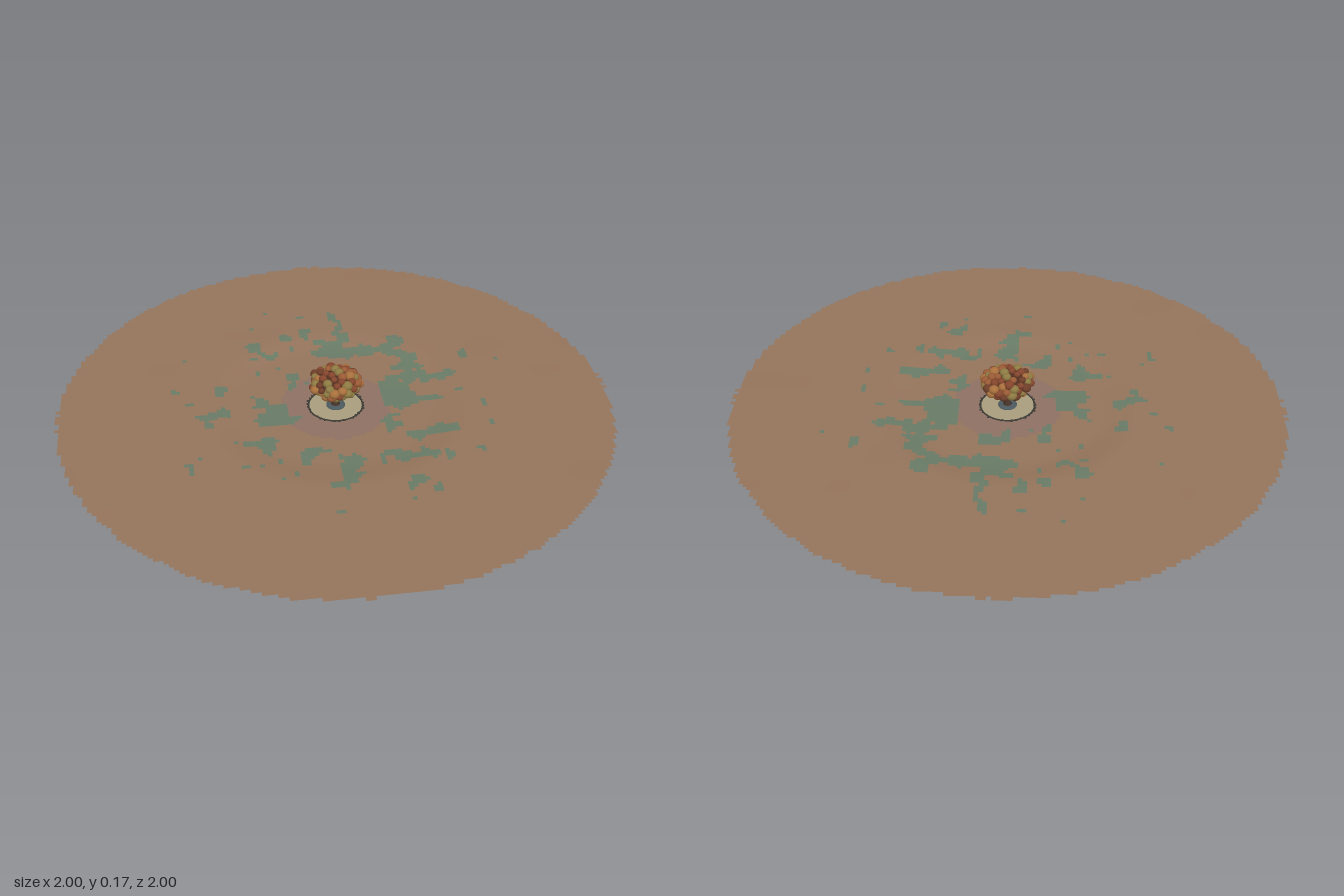
import * as THREE from 'three';

const mat = (color, extra = {}) => new THREE.MeshStandardMaterial({ color, ...extra });

// Repeatable random values and smooth value noise
const hash = (i, j) => {
  const s = Math.sin(i * 127.1 + j * 311.7) * 43758.5453;
  return s - Math.floor(s);
};
const noise = (x, y) => {
  const i = Math.floor(x), j = Math.floor(y);
  const u = THREE.MathUtils.smoothstep(x - i, 0, 1), v = THREE.MathUtils.smoothstep(y - j, 0, 1);
  return THREE.MathUtils.lerp(
    THREE.MathUtils.lerp(hash(i, j), hash(i + 1, j), u),
    THREE.MathUtils.lerp(hash(i, j + 1), hash(i + 1, j + 1), u), v);
};

// Shallow crater with gentle undulation outside it
function height(x, z) {
  const r = Math.hypot(x, z);
  const bowl = 0.011 + 0.012 * THREE.MathUtils.smoothstep(r, 0.34, 0.48);
  const wave = (noise(x * 5 + 20, z * 5 + 20) - 0.5) * 0.005;
  return bowl + wave * THREE.MathUtils.smoothstep(r, 0.1, 0.5);
}

// Decide which soil covers a cell of the ground
function zone(x, z) {
  const r = Math.hypot(x, z);
  const fade = THREE.MathUtils.smoothstep(r, 0.1, 0.24) * (1 - THREE.MathUtils.smoothstep(r, 0.3, 0.72));
  const n = 0.65 * noise(x * 15 + 50, z * 15 + 50) + 0.35 * noise(x * 34 + 90, z * 34 + 90);
  if (n > 0.86 - 0.29 * fade && r < 0.68) return 'mossPatches';
  return r < 0.2 ? 'innerSoil' : 'outerSoil';
}

// Ground sheet of small square cells, sorted by soil, with a stepped outer edge
function buildGround() {
  const zones = {
    outerSoil: { color: 0x94735a, p: [], n: [] },
    innerSoil: { color: 0x8d7062, p: [], n: [] },
    mossPatches: { color: 0x687b66, p: [], n: [] },
  };
  const N = 126, s = 2 / N, e = 0.01;
  for (let i = 0; i < N; i++) for (let j = 0; j < N; j++) {
    const x = -1 + i * s, z = -1 + j * s, cx = x + s / 2, cz = z + s / 2;
    const r = Math.hypot(cx, cz);
    if (r > 0.992 + 0.008 * (hash(i, j) - 0.5) || r < 0.085) continue;
    const { p, n } = zones[zone(cx, cz)];
    for (const [a, b] of [[0, 0], [0, 1], [1, 1], [0, 0], [1, 1], [1, 0]]) {
      const px = x + a * s, pz = z + b * s;
      p.push(px, height(px, pz), pz);
      const v = new THREE.Vector3(height(px - e, pz) - height(px + e, pz), 2 * e,
        height(px, pz - e) - height(px, pz + e)).normalize();
      n.push(v.x, v.y, v.z);
    }
  }
  const ground = new THREE.Group();
  ground.name = 'ground';
  for (const [name, { color, p, n }] of Object.entries(zones)) {
    const g = new THREE.BufferGeometry();
    g.setAttribute('position', new THREE.Float32BufferAttribute(p, 3));
    g.setAttribute('normal', new THREE.Float32BufferAttribute(n, 3));
    const mesh = new THREE.Mesh(g, mat(color, { side: THREE.DoubleSide }));
    mesh.name = name;
    ground.add(mesh);
  }
  return ground;
}

// Pale round bed with a dark stone border and a blue-grey root collar
function buildBed() {
  const bed = new THREE.Group();
  bed.name = 'treeBed';
  const add = (name, geo, material, y) => {
    const m = new THREE.Mesh(geo, material);
    m.name = name;
    m.position.y = y;
    bed.add(m);
    return m;
  };
  add('sandDisc', new THREE.CircleGeometry(0.1, 48).rotateX(-Math.PI / 2),
    mat(0xa89d7c, { side: THREE.DoubleSide }), 0.012);
  add('rim', new THREE.TorusGeometry(0.098, 0.003, 6, 60).rotateX(Math.PI / 2), mat(0x3b3a35), 0.012);
  const stone = mat(0x3b3a35, { flatShading: true });
  for (let i = 0; i < 36; i++) {
    const a = (i / 36) * Math.PI * 2, r = 0.097 + 0.006 * hash(i, 3);
    const m = add('borderStone', new THREE.DodecahedronGeometry(0.003 + 0.003 * hash(i, 7)), stone, 0.013);
    m.position.x = Math.cos(a) * r;
    m.position.z = Math.sin(a) * r;
    m.rotation.y = a;
    m.scale.y = 0.7;
  }
  const collar = [[0.0, 0.004], [0.034, 0.01], [0.034, 0.015], [0.026, 0.018], [0.012, 0.018]];
  add('rootCollar', new THREE.LatheGeometry(collar.map(([x, y]) => new THREE.Vector2(x, y)), 24),
    mat(0x4b5a60, { side: THREE.DoubleSide }), 0);
  return bed;
}

// Trunk, spreading branches and a crown of rounded leaf clumps
function buildTree() {
  const tree = new THREE.Group();
  tree.name = 'tree';
  const bark = mat(0x4a372b);
  const profile = [[0, 0], [0.012, 0.004], [0.017, 0.017], [0.01, 0.026], [0.008, 0.05], [0.011, 0.075], [0, 0.085]];
  const trunk = new THREE.Mesh(new THREE.LatheGeometry(profile.map(([x, y]) => new THREE.Vector2(x, y)), 12), bark);
  trunk.name = 'trunk';
  tree.add(trunk);
  for (let i = 0; i < 7; i++) {
    const a = (i / 7) * Math.PI * 2, c = Math.cos(a), s = Math.sin(a);
    const path = new THREE.CatmullRomCurve3([
      new THREE.Vector3(0, 0.05, 0),
      new THREE.Vector3(c * 0.03, 0.068, s * 0.03),
      new THREE.Vector3(c * 0.068, 0.105, s * 0.068)]);
    const branch = new THREE.Mesh(new THREE.TubeGeometry(path, 8, 0.004, 6), bark);
    branch.name = 'branch';
    tree.add(branch);
  }

  const crown = new THREE.Group();
  crown.name = 'crown';
  const leaves = [0x9a5a35, 0x84452c, 0xa8703c, 0x8d7a42, 0x6e3d28].map(c => mat(c));
  const clump = new THREE.IcosahedronGeometry(1, 2);
  const count = 84;
  for (let i = 0; i < count; i++) {
    const t = 1 - 2 * (i + 0.5) / count, a = i * 2.39996;
    const ring = Math.sqrt(1 - t * t) * (0.88 + 0.18 * hash(i, 11));
    const size = 0.012 + 0.008 * hash(i, 5);
    const m = new THREE.Mesh(clump, leaves[Math.floor(hash(i, 17) * leaves.length)]);
    m.name = 'leafClump';
    m.position.set(Math.cos(a) * ring * 0.083, 0.113 + t * (t > 0 ? 0.04 : 0.043), Math.sin(a) * ring * 0.077);
    m.scale.set(size, size * 0.85, size);
    crown.add(m);
  }
  const core = new THREE.Mesh(new THREE.SphereGeometry(1, 20, 12), mat(0x4e2d1f));
  core.name = 'crownCore';
  core.position.y = 0.113;
  core.scale.set(0.074, 0.037, 0.069);
  crown.add(core);
  tree.add(crown);
  return tree;
}

export function createModel() {
  const model = new THREE.Group();
  model.name = 'treeInCrater';
  model.add(buildGround(), buildBed(), buildTree());
  return model;
}
